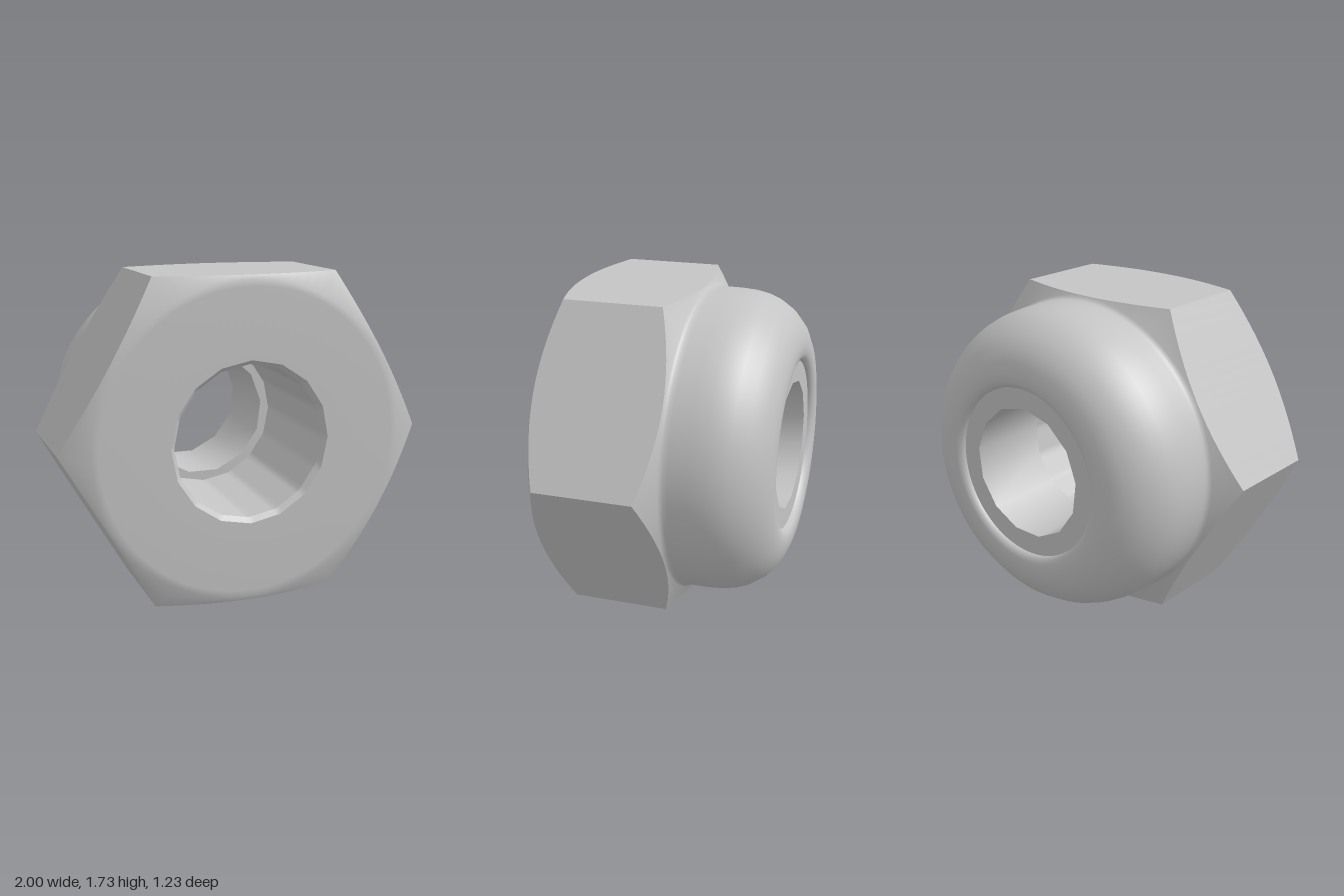
import * as THREE from 'three';
import { toCreasedNormals } from 'three/addons/utils/BufferGeometryUtils.js';

const SEGMENTS = 96; // divisible by the 6-sided body and the 16-sided bore
const APOTHEM = Math.sqrt(3) / 2;

// Radius at angle a of a regular polygon with a corner at angle 0
function polygonRadius(R, sides, a) {
  const step = (Math.PI * 2) / sides;
  return (R * Math.cos(step / 2)) / Math.cos((a % step) - step / 2);
}

// Joins rings around the z axis; each ring maps an angle to [radius, z]
function loft(rings) {
  const positions = [];
  const index = [];
  for (const ring of rings) {
    for (let j = 0; j < SEGMENTS; j++) {
      const a = (j / SEGMENTS) * Math.PI * 2;
      const [r, z] = ring(a);
      positions.push(r * Math.cos(a), r * Math.sin(a), z);
    }
  }
  for (let i = 0; i < rings.length - 1; i++) {
    for (let j = 0; j < SEGMENTS; j++) {
      const k = (j + 1) % SEGMENTS;
      const a = i * SEGMENTS + j, b = a + SEGMENTS;
      const c = i * SEGMENTS + k, d = c + SEGMENTS;
      index.push(a, b, c, b, d, c);
    }
  }
  const geometry = new THREE.BufferGeometry();
  geometry.setAttribute('position', new THREE.Float32BufferAttribute(positions, 3));
  geometry.setIndex(index);
  return toCreasedNormals(geometry, 0.6);
}

export function createModel() {
  const group = new THREE.Group();
  group.name = 'lockNut';
  const steel = new THREE.MeshStandardMaterial({ color: 0xc4c4c4 });
  steel.name = 'steel grey';

  const round = (r, z) => () => [r, z];
  const bore = (r, z) => (a) => [polygonRadius(r, 16, a), z];
  // Hexagon edge cut by a cone, which gives the curved chamfer lines
  const hex = (z, slope) => (a) => {
    const r = polygonRadius(1, 6, a);
    return [r, z + (r - APOTHEM) * slope];
  };

  // Rounded collar, from its foot on the hexagon to the rolled rim
  const collar = [
    [0.862, -0.093], [0.851, -0.102], [0.845, -0.116], [0.843, -0.14],
    [0.842, -0.24], [0.836, -0.32], [0.823, -0.38], [0.8, -0.44],
    [0.75, -0.515], [0.68, -0.575], [0.61, -0.606], [0.55, -0.617],
    [0.51, -0.615], [0.485, -0.605], [0.472, -0.588], [0.468, -0.565],
  ];

  // Bore, front face, chamfered hexagon and collar in one skin
  const body = new THREE.Mesh(loft([
    bore(0.41, -0.13), bore(0.41, 0.585), bore(0.435, 0.615),
    round(0.81, 0.615), round(0.845, 0.613),
    hex(0.603, -0.577), hex(-0.09, 0.59),
    ...collar.map(([r, z]) => round(r, z)),
  ]), steel);
  body.name = 'hexBodyAndCollar';
  group.add(body);

  // Locking ring held inside the collar, with a narrower 13-sided hole
  const ring = new THREE.Shape().absarc(0, 0, 0.48, 0, Math.PI * 2);
  const hole = [];
  for (let i = 0; i < 13; i++) {
    const a = Math.PI / 2 - (i / 13) * Math.PI * 2;
    hole.push(new THREE.Vector2(0.362 * Math.cos(a), 0.362 * Math.sin(a)));
  }
  ring.holes.push(new THREE.Path(hole));
  const insertGeometry = new THREE.ExtrudeGeometry(ring, {
    depth: 0.45, bevelEnabled: false, curveSegments: 48,
  });
  const insert = new THREE.Mesh(toCreasedNormals(insertGeometry, 0.6), steel);
  insert.name = 'lockingInsert';
  insert.position.z = -0.58;
  group.add(insert);

  // Stand the hexagon on one flat
  for (const part of group.children) part.position.y = APOTHEM;
  return group;
}
